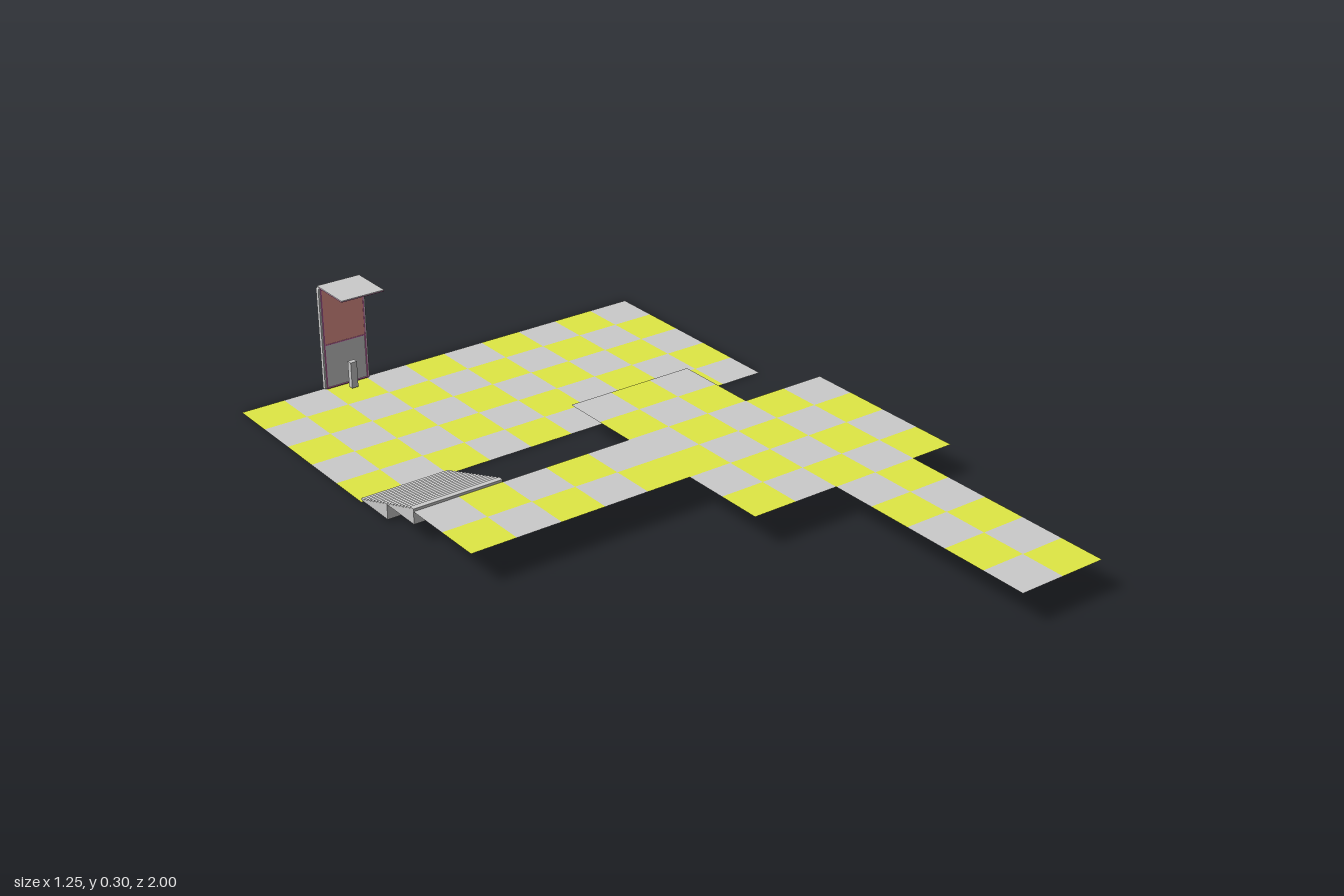
import * as THREE from 'three';
import { mergeGeometries } from 'three/addons/utils/BufferGeometryUtils.js';

const TILE = 0.125, UPPER = 0.083;
const mat = (color) => new THREE.MeshStandardMaterial({ color, side: THREE.DoubleSide, flatShading: true });
const grey = mat(0xcccccc), yellow = mat(0xe0e844), red = mat(0xe8968f), pink = mat(0xd070b0);

function add(parent, name, geometry, material) {
  const mesh = new THREE.Mesh(geometry, material);
  mesh.name = name;
  parent.add(mesh);
  return mesh;
}

// Box given by its limits
function box(parent, name, x0, x1, y0, y1, z0, z1, material) {
  const g = new THREE.BoxGeometry(x1 - x0, y1 - y0, z1 - z0);
  g.translate((x0 + x1) / 2, (y0 + y1) / 2, (z0 + z1) / 2);
  return add(parent, name, g, material);
}

// Chequered floor counted in tiles from the back right corner
function floor(parent, name, col, row, cols, rows, y, parity) {
  const group = new THREE.Group();
  group.name = name;
  const sets = [[], []];
  for (let i = col; i < col + cols; i++) {
    for (let j = row; j < row + rows; j++) {
      const g = new THREE.PlaneGeometry(TILE, TILE).rotateX(-Math.PI / 2);
      g.translate(-0.625 + (i + 0.5) * TILE, y, -1 + (j + 0.5) * TILE);
      sets[(i + j + parity) % 2].push(g);
    }
  }
  add(group, 'yellowTiles', mergeGeometries(sets[0]), yellow);
  add(group, 'greyTiles', mergeGeometries(sets[1]), grey);
  parent.add(group);
}

// Flight of steps rising towards +z, one tile long
function flight(parent, name, z0, y0, steps) {
  const rise = UPPER / 2 / steps, run = TILE / steps;
  const s = new THREE.Shape();
  s.moveTo(0, 0);
  for (let k = 0; k < steps; k++) {
    s.lineTo(k * run, (k + 1) * rise);
    s.lineTo((k + 1) * run, (k + 1) * rise);
  }
  s.lineTo(TILE, 0);
  const g = new THREE.ExtrudeGeometry(s, { depth: 2 * TILE, bevelEnabled: false });
  g.rotateY(-Math.PI / 2).translate(-0.375, y0, z0);
  add(parent, name, g, grey);
}

export function createModel() {
  const model = new THREE.Group();
  model.name = 'tiledFloors';

  // Lower hall and the raised sections in front of it
  floor(model, 'lowerHallFloor', 0, 0, 10, 5, 0, 0);
  floor(model, 'bridgeFloor', 5, 5, 3, 2, UPPER, 1);
  floor(model, 'sideCorridorFloor', 0, 7, 5, 2, UPPER, 0);
  floor(model, 'upperRoomFloor', 5, 7, 5, 4, UPPER, 1);
  floor(model, 'frontPathFloor', 7, 11, 2, 5, UPPER, 1);

  // Stairs in two flights
  const stairs = new THREE.Group();
  stairs.name = 'stairs';
  for (let k = 0; k < 2; k++) flight(stairs, 'flight', -0.375 + k * TILE, 0.007 + k * UPPER / 2, 8);
  model.add(stairs);

  // Booth: back wall with rounded top corners
  const booth = new THREE.Group();
  booth.name = 'booth';
  const x0 = -0.381, x1 = -0.244, top = 0.299, r = 0.01;
  const s = new THREE.Shape();
  s.moveTo(x0, 0.003);
  s.lineTo(x1, 0.003);
  s.lineTo(x1, top - r);
  s.quadraticCurveTo(x1, top, x1 - r, top);
  s.lineTo(x0 + r, top);
  s.quadraticCurveTo(x0, top, x0, top - r);
  const wall = new THREE.ExtrudeGeometry(s, { depth: 0.012, bevelEnabled: false, curveSegments: 4 });
  add(booth, 'backWall', wall.translate(0, 0, -1), grey);

  // Upper panel, trim and canopy
  box(booth, 'upperPanel', -0.373, -0.252, 0.13, 0.296, -0.988, -0.986, red);
  for (const x of [-0.376, -0.252]) box(booth, 'sideTrim', x, x + 0.003, 0.003, 0.298, -0.988, -0.985, pink);
  for (const y of [0.003, 0.129, 0.295]) box(booth, 'crossTrim', -0.376, -0.249, y, y + 0.003, -0.988, -0.985, pink);
  box(booth, 'canopy', -0.378, -0.25, 0.298, 0.3, -1, -0.87, grey);
  box(booth, 'canopyLining', -0.378, -0.25, 0.296, 0.298, -0.987, -0.87, pink);

  // Small post standing in front of the wall
  box(booth, 'post', -0.322, -0.303, 0.005, 0.08, -0.962, -0.946, grey);
  model.add(booth);
  return model;
}
